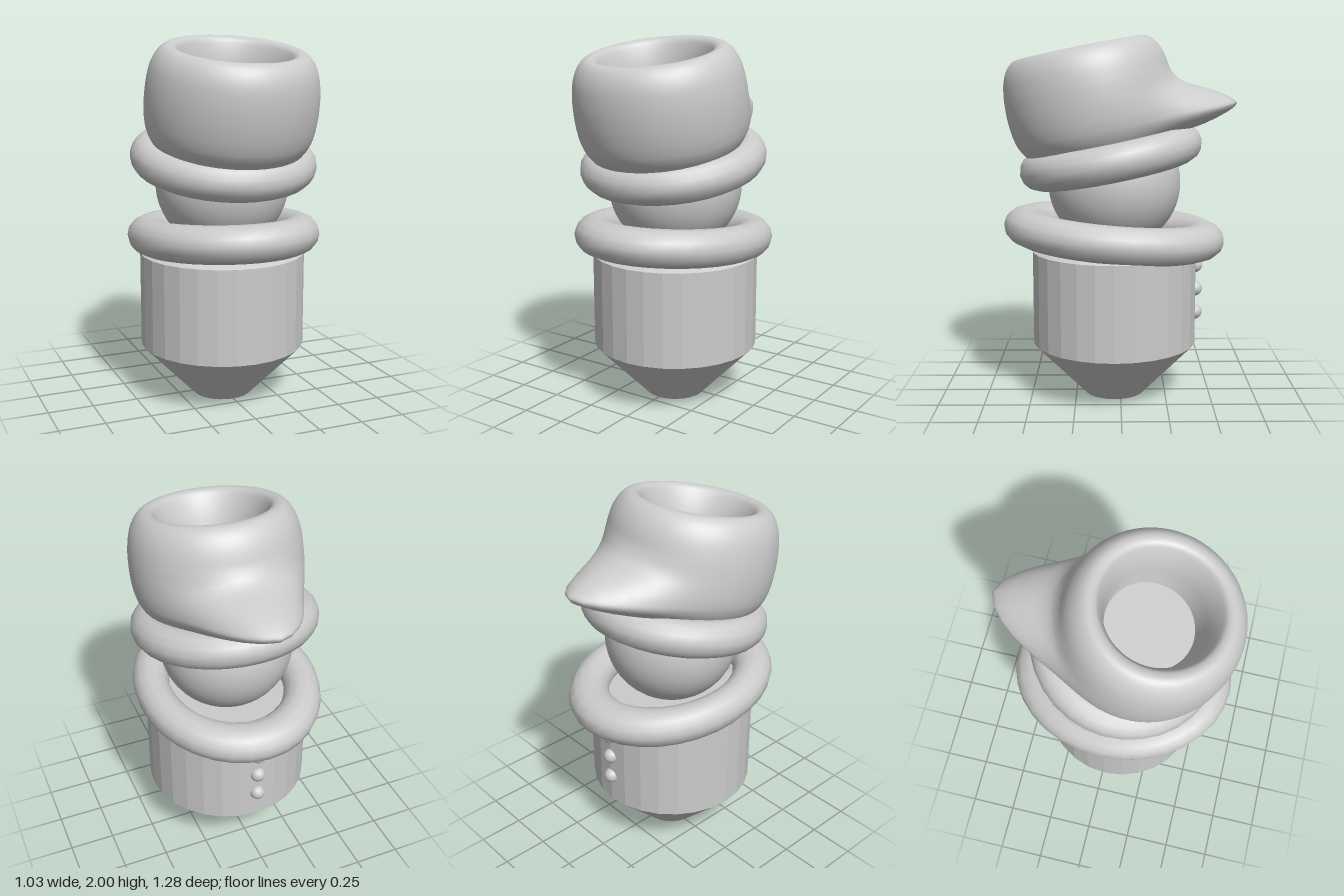
import * as THREE from 'three';
import { mergeVertices } from 'three/addons/utils/BufferGeometryUtils.js';

const smooth = new THREE.MeshStandardMaterial({ color: 0xcccccc });
const faceted = new THREE.MeshStandardMaterial({ color: 0xcccccc, flatShading: true });

function add(parent, name, geometry, y, z, material = smooth) {
  const mesh = new THREE.Mesh(geometry, material);
  mesh.name = name;
  mesh.position.set(0, y, z);
  parent.add(mesh);
  return mesh;
}

// Horizontal ring, optionally stretched front to back
function ringGeometry(radius, tube, stretch = 1) {
  return new THREE.TorusGeometry(radius, tube, 14, 32).rotateX(Math.PI / 2).scale(1, 1, stretch);
}

// Hollow hat turned from a profile of (radius, height, extra reach of the bill at the back)
function hatGeometry() {
  const profile = new THREE.CatmullRomCurve3([
    [0, -0.02, 0], [0.36, -0.02, 0.06], [0.41, 0.015, 0.25], [0.44, 0.07, 0.345],
    [0.452, 0.115, 0.3], [0.46, 0.174, 0.2], [0.463, 0.26, 0.04], [0.458, 0.34, 0],
    [0.44, 0.43, 0], [0.41, 0.49, 0], [0.375, 0.523, 0], [0.345, 0.53, 0],
    [0.315, 0.52, 0], [0.293, 0.485, 0], [0.265, 0.41, 0], [0.245, 0.32, 0], [0.23, 0.25, 0],
  ].map((p) => new THREE.Vector3(...p)));
  const points = profile.getPoints(64);
  const sides = 64;
  const geometry = new THREE.LatheGeometry(
    points.map((p) => new THREE.Vector2(Math.max(p.x, 0), p.y)), sides);

  // Pull the back out into the pointed bill
  const pos = geometry.attributes.position;
  for (let i = 0; i < pos.count; i++) {
    const p = points[i % points.length];
    const x = pos.getX(i), z = pos.getZ(i);
    const angle = Math.abs(Math.atan2(x, -z));
    const reach = Math.max(p.z, 0) * Math.exp(-Math.pow(angle / 0.47, 1.6));
    const r = Math.hypot(x, z) || 1;
    pos.setX(i, x * (1 + reach / r));
    pos.setZ(i, z * (1 + reach / r));
  }
  geometry.deleteAttribute('uv');
  geometry.deleteAttribute('normal');
  const merged = mergeVertices(geometry);
  merged.computeVertexNormals();
  return merged;
}

export function createModel() {
  const model = new THREE.Group();
  model.name = 'figure';
  const axisZ = 0.035;

  // Body: tapered foot, straight trunk and sloping shoulder
  add(model, 'foot', new THREE.CylinderGeometry(0.457, 0.165, 0.3, 28), 0.15, axisZ, faceted);
  add(model, 'trunk', new THREE.CylinderGeometry(0.457, 0.457, 0.52, 28), 0.56, axisZ, faceted);
  add(model, 'shoulder', new THREE.CylinderGeometry(0.36, 0.457, 0.05, 28), 0.845, axisZ, faceted);

  // Buttons down the back
  for (const y of [0.73, 0.595, 0.46]) {
    add(model, 'button', new THREE.SphereGeometry(0.042, 16, 12), y, -0.418);
  }

  // Collar, head and hat band
  add(model, 'collar', ringGeometry(0.415, 0.1, 1.195), 0.92, axisZ).rotation.x = -0.085;
  add(model, 'head', new THREE.SphereGeometry(0.366, 40, 28), 1.2, axisZ);
  add(model, 'hatBand', ringGeometry(0.41, 0.1), 1.34, 0.055).rotation.x = 0.195;

  // Hat leaning forward, with a well in the crown
  const hat = new THREE.Group();
  hat.name = 'hat';
  hat.position.set(0, 1.41, 0.12);
  hat.rotation.x = 0.195;
  add(hat, 'hatShell', hatGeometry(), 0, 0);
  add(hat, 'wellFloor', new THREE.CircleGeometry(0.231, 40).rotateX(-Math.PI / 2), 0.25, 0);
  model.add(hat);

  return model;
}
